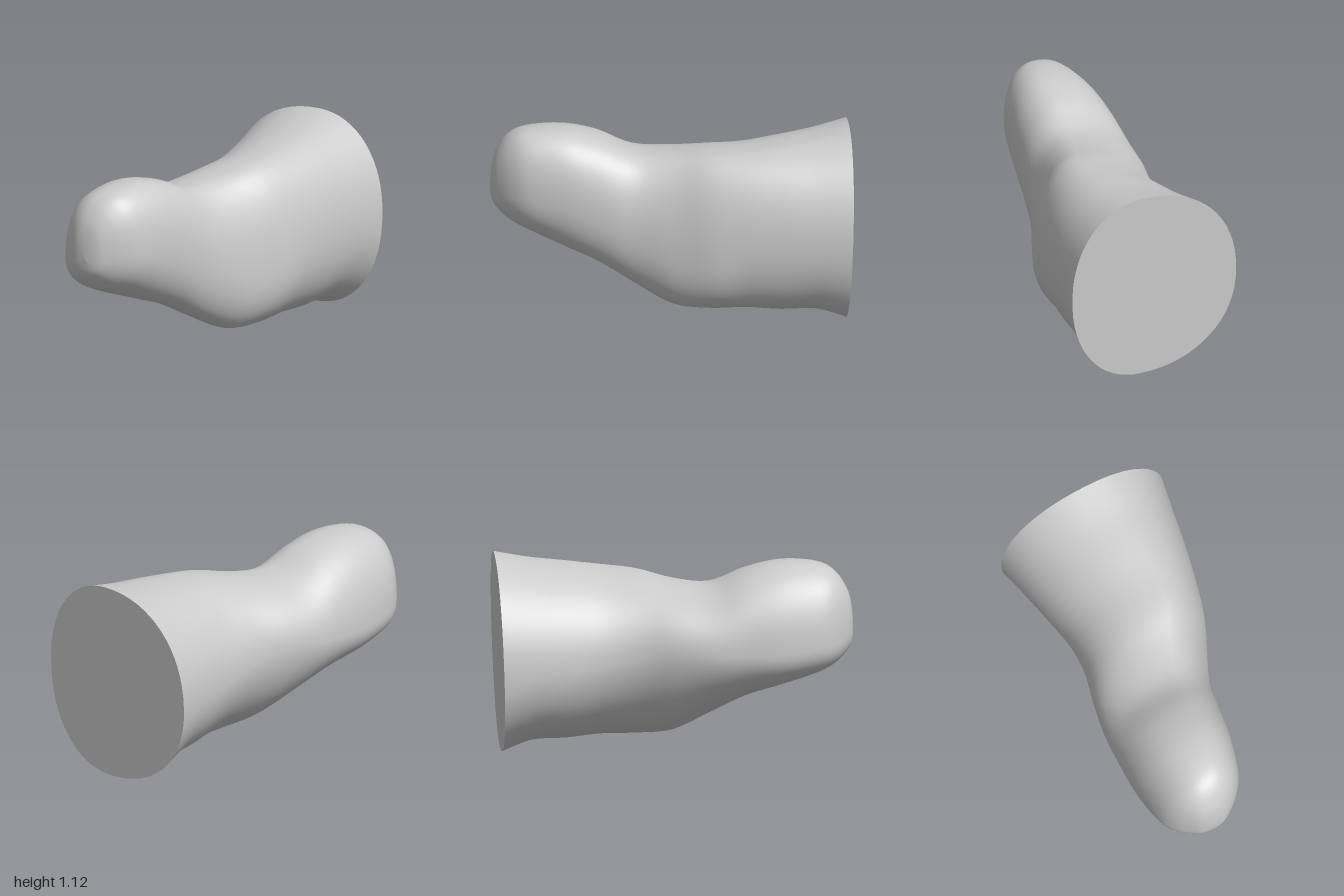
import * as THREE from 'three';

// Cross-sections from back to front. Each gives its four extremes and where they lie:
// z, left edge x, its y, right edge x, its y, bottom y, its x, top y, its x
const SECTIONS = [
  [-1.0, -0.51, 0.53, 0.51, 0.57, 0.0, 0.07, 1.12, 0.07],
  [-0.8, -0.465, 0.53, 0.48, 0.57, 0.06, 0.08, 1.08, 0.1],
  [-0.6, -0.42, 0.53, 0.45, 0.56, 0.063, 0.09, 1.055, 0.12],
  [-0.4, -0.385, 0.55, 0.415, 0.52, 0.08, 0.09, 1.03, 0.13],
  [-0.2, -0.39, 0.59, 0.37, 0.43, 0.08, 0.09, 1.01, 0.1],
  [0.0, -0.435, 0.62, 0.285, 0.4, 0.1, 0.08, 0.97, 0.02],
  [0.2, -0.465, 0.61, 0.2, 0.52, 0.205, 0.04, 0.965, -0.05],
  [0.4, -0.47, 0.61, 0.16, 0.65, 0.32, -0.03, 1.05, -0.1],
  [0.6, -0.465, 0.62, 0.125, 0.74, 0.4, -0.11, 1.095, -0.11],
  [0.8, -0.43, 0.65, 0.07, 0.76, 0.48, -0.2, 1.085, -0.13],
  [0.9, -0.375, 0.67, 0.005, 0.76, 0.535, -0.21, 1.035, -0.16],
  [0.965, -0.3, 0.7, -0.07, 0.74, 0.6, -0.2, 0.94, -0.18],
  [0.99, -0.25, 0.71, -0.12, 0.72, 0.645, -0.19, 0.84, -0.19],
  [1.0, -0.18, 0.72, -0.18, 0.72, 0.72, -0.18, 0.72, -0.18],
];
const SIDES = 64, STEPS = 5;

// Smooth blend between neighbouring sections
function sectionAt(u) {
  const last = SECTIONS.length - 1;
  const i = Math.min(Math.floor(u), last - 1), t = u - i;
  const row = (k) => SECTIONS[THREE.MathUtils.clamp(k, 0, last)];
  return SECTIONS[0].map((_, c) => {
    const [p, q, r, s] = [row(i - 1)[c], row(i)[c], row(i + 1)[c], row(i + 2)[c]];
    const m0 = (r - p) / 2, m1 = (s - q) / 2;
    return q + t * (m0 + t * (3 * (r - q) - 2 * m0 - m1 + t * (2 * (q - r) + m0 + m1)));
  });
}

// Ring of four quarter arcs that meet at the section's extremes
function ring(u) {
  const [z, xl, yl, xr, yr, yb, xb, yt, xt] = sectionAt(u);
  // The knee's lower left is a slanted plane; the front lobe is fuller all round
  const slant = 0.18 * THREE.MathUtils.smoothstep(u, 0, 4) * (1 - THREE.MathUtils.smoothstep(u, 6, 9));
  const lobe = 0.06 * THREE.MathUtils.smoothstep(u, 5, 8);
  const points = [];
  for (let j = 0; j < SIDES; j++) {
    const a = (j / SIDES) * Math.PI * 2;
    const right = Math.cos(a) >= 0, up = Math.sin(a) >= 0;
    const power = 0.93 - lobe + (right || up ? 0 : slant);
    const c = Math.abs(Math.cos(a)) ** power, s = Math.abs(Math.sin(a)) ** power;
    const x = THREE.MathUtils.lerp(up ? xt : xb, right ? xr : xl, c);
    const y = THREE.MathUtils.lerp(right ? yr : yl, up ? yt : yb, s);
    // The cut end leans slightly
    const lean = 0.036 * (1 - y / 1.12) * Math.max(0, 1 - u);
    points.push(new THREE.Vector3(x, y, z + lean));
  }
  return points;
}

function mesh(name, points, index, material) {
  const geometry = new THREE.BufferGeometry().setFromPoints(points);
  geometry.setIndex(index);
  geometry.computeVertexNormals();
  const m = new THREE.Mesh(geometry, material);
  m.name = name;
  return m;
}

export function createModel() {
  const group = new THREE.Group();
  group.name = 'bentStump';
  const material = new THREE.MeshStandardMaterial({ color: 0xcccccc });

  // Skin lofted through all rings, closing at the rounded tip
  const rings = (SECTIONS.length - 1) * STEPS;
  const points = [], index = [];
  for (let i = 0; i <= rings; i++) points.push(...ring(i / STEPS));
  for (let i = 0; i < rings; i++) {
    for (let j = 0; j < SIDES; j++) {
      const k = (j + 1) % SIDES;
      const a = i * SIDES + j, b = i * SIDES + k;
      index.push(a, b, b + SIDES);
      if (i < rings - 1) index.push(a, b + SIDES, a + SIDES);
    }
  }
  group.add(mesh('limb', points, index, material));

  // Flat cut end at the back
  const rim = ring(0), capIndex = [];
  for (let j = 0; j < SIDES; j++) capIndex.push(SIDES, (j + 1) % SIDES, j);
  const centre = new THREE.Vector3(0, 0.56, -0.982);
  group.add(mesh('cutEnd', [...rim, centre], capIndex, material));
  return group;
}
